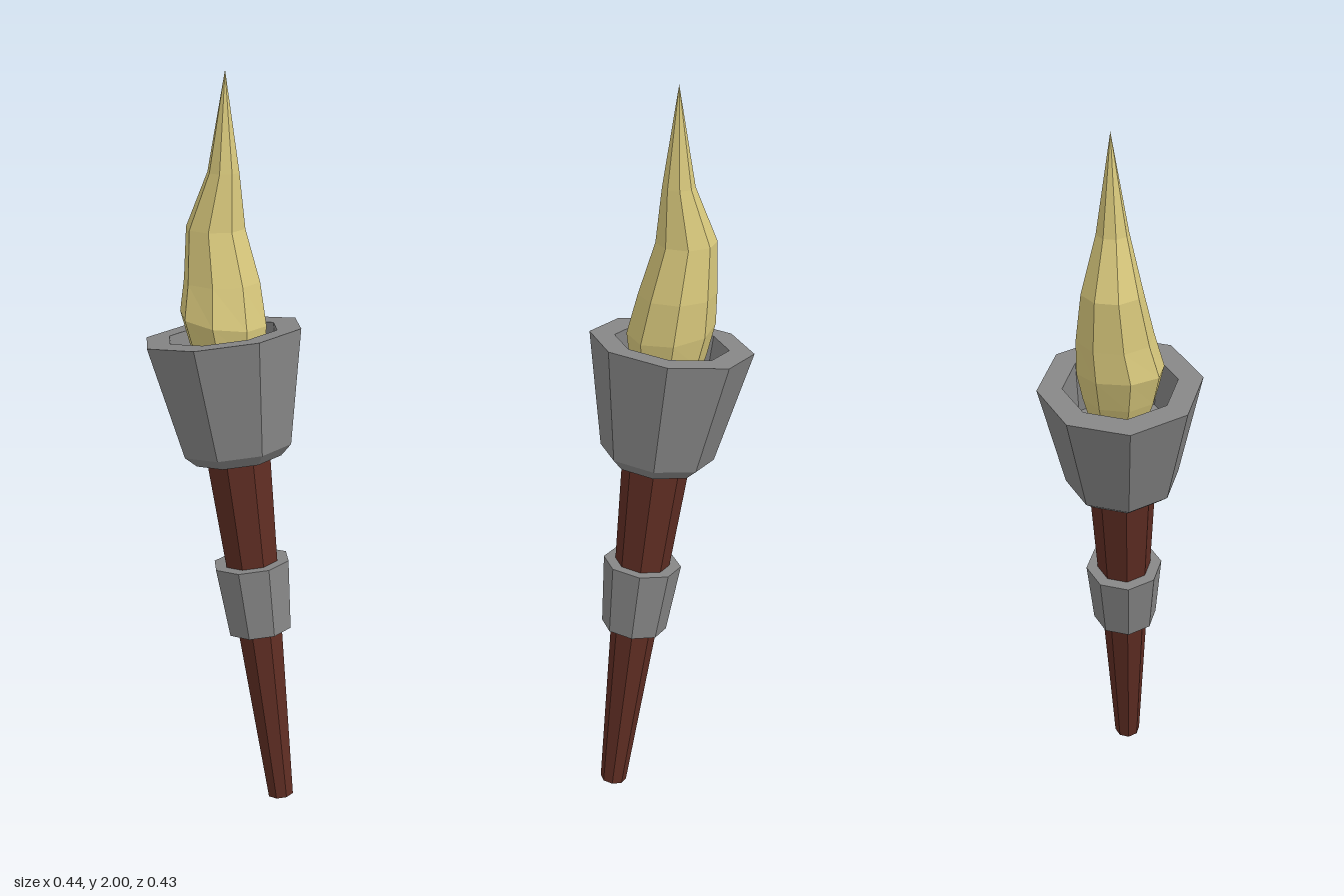
import * as THREE from 'three';

const SIDES = 8;

const iron = new THREE.MeshStandardMaterial({ name: 'iron grey', color: 0x868686, flatShading: true });
const wood = new THREE.MeshStandardMaterial({ name: 'dark red wood', color: 0x5f2d23, flatShading: true });
const fire = new THREE.MeshStandardMaterial({ name: 'pale yellow flame', color: 0xd8c87c, flatShading: true });

// Faceted solid of revolution from [radius, height] pairs
function turned(name, profile, material) {
  const points = profile.map(([r, y]) => new THREE.Vector2(r, y));
  const geometry = new THREE.LatheGeometry(points, SIDES).toNonIndexed();
  geometry.computeVertexNormals();
  const mesh = new THREE.Mesh(geometry, material);
  mesh.name = name;
  return mesh;
}

// Wavering flame: octagonal rings [x, y, z, radius, slant] closing to a point
function makeFlame() {
  const rings = [
    [0.02, 1.18, 0.0, 0.07, 0],
    [0.005, 1.29, 0.0, 0.1, 0],
    [-0.006, 1.367, 0.0, 0.116, -0.12],
    [-0.015, 1.465, -0.015, 0.102, 0],
    [-0.036, 1.6, -0.025, 0.079, 0],
    [-0.013, 1.745, -0.021, 0.042, 0],
    [-0.01, 2.0, -0.025, 0, 0],
  ];
  const positions = [];
  const index = [];
  for (const [x, y, z, r, slant] of rings) {
    for (let j = 0; j < SIDES; j++) {
      const t = (j / SIDES) * Math.PI * 2 + 0.12;
      const dx = r * Math.sin(t);
      positions.push(x + dx, y + slant * dx, z + r * Math.cos(t));
    }
  }
  for (let i = 0; i < rings.length - 1; i++) {
    for (let j = 0; j < SIDES; j++) {
      const k = (j + 1) % SIDES;
      const a = i * SIDES + j, b = i * SIDES + k;
      const c = b + SIDES, d = a + SIDES;
      index.push(a, b, d);
      if (i < rings.length - 2) index.push(b, c, d);
    }
  }
  // Underside
  for (let j = 1; j < SIDES - 1; j++) index.push(0, j + 1, j);

  let geometry = new THREE.BufferGeometry();
  geometry.setAttribute('position', new THREE.Float32BufferAttribute(positions, 3));
  geometry.setIndex(index);
  geometry = geometry.toNonIndexed();
  geometry.computeVertexNormals();
  const mesh = new THREE.Mesh(geometry, fire);
  mesh.name = 'flame';
  return mesh;
}

export function createModel() {
  const model = new THREE.Group();
  model.name = 'torch';

  // Everything but the flame leans along one tilted axis
  const body = new THREE.Group();
  body.name = 'torchBody';
  body.position.set(0.182, 0.006, 0.04);
  const axis = new THREE.Vector3(-0.19, 1.32, -0.041).normalize();
  body.quaternion.setFromUnitVectors(new THREE.Vector3(0, 1, 0), axis);
  body.rotateY(0.014);

  // Tapered handle
  body.add(turned('handle', [[0, 0], [0.037, 0], [0.093, 1.03], [0, 1.03]], wood));

  // Grip band around the handle
  body.add(turned('band', [[0, 0.505], [0.09, 0.505], [0.107, 0.7], [0, 0.7]], iron));

  // Cup with bevelled base, flat rim and recessed floor
  body.add(turned('cup', [
    [0, 0.997], [0.122, 0.997], [0.153, 1.027], [0.217, 1.335],
    [0.151, 1.335], [0.145, 1.18], [0, 1.18],
  ], iron));

  model.add(body, makeFlame());
  return model;
}
